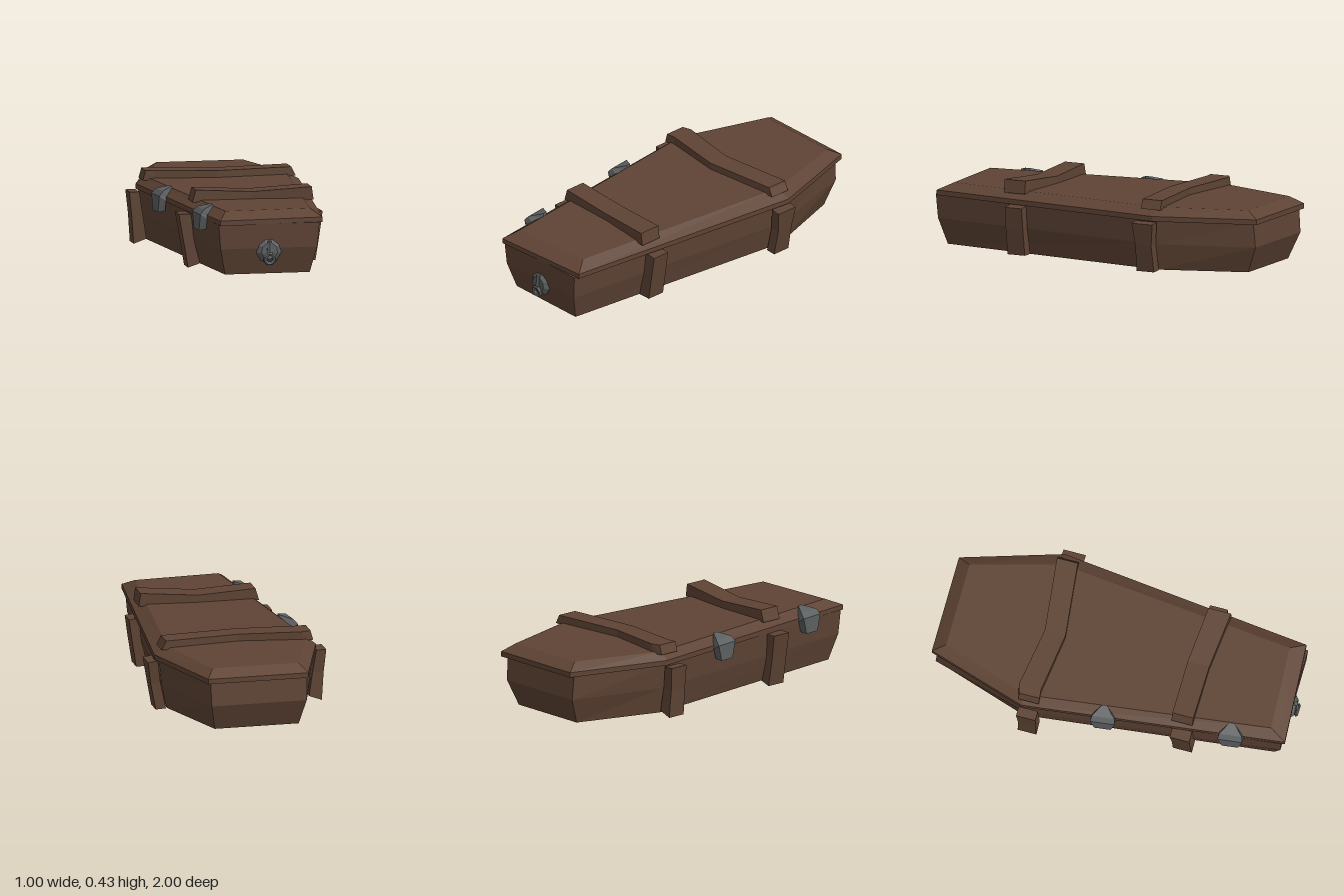
import * as THREE from 'three';

const wood = new THREE.MeshStandardMaterial({ color: 0x5e4334, flatShading: true });
const iron = new THREE.MeshStandardMaterial({ color: 0x5c5f60, flatShading: true });

// Skin a list of equal-length rings (counter-clockwise seen from the last ring), with end caps
function loft(name, rings, material) {
  const n = rings[0].length, pos = [];
  const tri = (a, b, c) => pos.push(...a, ...b, ...c);
  for (let r = 0; r < rings.length - 1; r++) {
    const a = rings[r], b = rings[r + 1];
    for (let i = 0; i < n; i++) {
      const j = (i + 1) % n;
      tri(a[i], a[j], b[j]);
      tri(a[i], b[j], b[i]);
    }
  }
  const first = rings[0], last = rings[rings.length - 1];
  for (let i = 1; i < n - 1; i++) {
    tri(first[0], first[i + 1], first[i]);
    tri(last[0], last[i], last[i + 1]);
  }
  const geo = new THREE.BufferGeometry();
  geo.setAttribute('position', new THREE.Float32BufferAttribute(pos, 3));
  geo.computeVertexNormals();
  const mesh = new THREE.Mesh(geo, material);
  mesh.name = name;
  return mesh;
}

const atHeight = (y, pts) => pts.map(([x, z]) => [x, y, z]);

// Six-sided coffin section: head, shoulder and foot half widths and z positions
const section = (y, head, zHead, shoulder, foot, zFoot) => atHeight(y, [
  [-head, zHead], [-shoulder, -0.45], [-foot, zFoot], [foot, zFoot], [shoulder, -0.45], [head, zHead],
]);

function body() {
  return loft('body', [
    section(0.025, 0.235, -0.92, 0.39, 0.235, 0.92),
    section(0.17, 0.265, -0.98, 0.42, 0.268, 0.963),
    section(0.305, 0.27, -0.97, 0.432, 0.28, 0.97),
  ], wood);
}

function lid() {
  const rim = [[-0.27, -1], [-0.445, -0.45], [-0.275, 0.99], [0.3, 0.955], [0.46, -0.45], [0.29, -1]];
  const top = [[-0.23, -0.93], [-0.395, -0.44], [-0.228, 0.9], [0.245, 0.875], [0.385, -0.44], [0.25, -0.93]];
  return loft('lid', [atHeight(0.302, rim), atHeight(0.33, rim), atHeight(0.37, top)], wood);
}

// Lid batten: stations of [x at bottom, x at top, y top, z back, z front]
function batten(name, stations) {
  return loft(name, stations.map(([xb, xt, y, z0, z1]) => [
    [xb, 0.36, z0], [xt, y, z0], [xt, y, z1], [xb, 0.36, z1],
  ]), wood);
}

// Side batten: stations of [y outer, y inner, x outer, x inner, z back, z front]
function sideBatten(name, side, stations) {
  return loft(name, stations.map(([yo, yi, xo, xi, z0, z1]) => {
    const ring = [[side * xi, yi, z0], [side * xi, yi, z1], [side * xo, yo, z1], [side * xo, yo, z0]];
    return side > 0 ? ring : ring.reverse();
  }), wood);
}

// Iron hinge plate bent over the lid edge and tapering to a blunt tip
function hinge(name, x, z) {
  const stations = [
    [0.245, 0.25, -0.038, 0.005, 0.045],
    [0.335, 0.31, -0.038, 0.0, 0.068],
    [0.362, 0.33, -0.015, 0.01, 0.062],
    [0.382, 0.362, 0.05, 0.055, 0.013],
  ];
  const mesh = loft(name, stations.map(([yo, yi, xo, xi, h]) => [
    [xo, yo, -h], [xo, yo, h], [xi, yi, h], [xi, yi, -h],
  ]), iron);
  mesh.position.set(x, 0, z);
  mesh.rotation.y = 0.118;
  return mesh;
}

// Foot handle: faceted plate, boss and a hanging ring
function handle() {
  const group = new THREE.Group();
  group.name = 'handle';
  const add = (name, geo, x, y, z) => {
    const mesh = new THREE.Mesh(geo, iron);
    mesh.name = name;
    mesh.position.set(x, y, z);
    group.add(mesh);
  };
  add('handlePlate', new THREE.CylinderGeometry(0.045, 0.07, 0.022, 9).rotateX(Math.PI / 2), 0, 0.155, 0.97);
  add('handleBoss', new THREE.CylinderGeometry(0.012, 0.018, 0.07, 6), 0, 0.175, 0.978);
  add('handleRing', new THREE.TorusGeometry(0.027, 0.011, 5, 8).rotateZ(Math.PI / 8).rotateX(0.12), 0, 0.114, 0.986);
  return group;
}

export function createModel() {
  const model = new THREE.Group();
  model.name = 'coffin';
  model.add(body(), lid());

  // Battens across the lid
  model.add(batten('shoulderBatten', [
    [-0.425, -0.41, 0.413, -0.47, -0.355],
    [-0.36, -0.36, 0.413, -0.485, -0.36],
    [-0.02, -0.02, 0.408, -0.432, -0.315],
    [0.4, 0.4, 0.41, -0.478, -0.36],
    [0.425, 0.405, 0.398, -0.478, -0.36],
  ]));
  model.add(batten('footBatten', [
    [-0.325, -0.305, 0.427, 0.365, 0.483],
    [0.01, 0.01, 0.41, 0.365, 0.487],
    [0.34, 0.33, 0.432, 0.395, 0.522],
  ]));

  // Battens down the sides
  model.add(sideBatten('leftShoulderBatten', 1, [
    [0.02, 0.023, 0.452, 0.395, -0.455, -0.35],
    [0.17, 0.17, 0.48, 0.425, -0.453, -0.355],
    [0.29, 0.297, 0.498, 0.443, -0.468, -0.342],
  ]));
  model.add(sideBatten('rightShoulderBatten', -1, [
    [0.014, 0.04, 0.476, 0.405, -0.46, -0.355],
    [0.17, 0.17, 0.487, 0.425, -0.455, -0.355],
    [0.298, 0.298, 0.5, 0.445, -0.463, -0.355],
  ]));
  model.add(sideBatten('leftFootBatten', 1, [
    [0.024, 0.024, 0.357, 0.285, 0.385, 0.49],
    [0.17, 0.17, 0.38, 0.31, 0.385, 0.49],
    [0.29, 0.298, 0.397, 0.33, 0.385, 0.487],
  ]));
  model.add(sideBatten('rightFootBatten', -1, [
    [0.003, 0.024, 0.35, 0.285, 0.38, 0.487],
    [0.17, 0.17, 0.378, 0.31, 0.382, 0.485],
    [0.297, 0.297, 0.4, 0.335, 0.375, 0.485],
  ]));

  model.add(hinge('shoulderHinge', -0.393, 0), hinge('footHinge', -0.31, 0.695), handle());
  return model;
}
